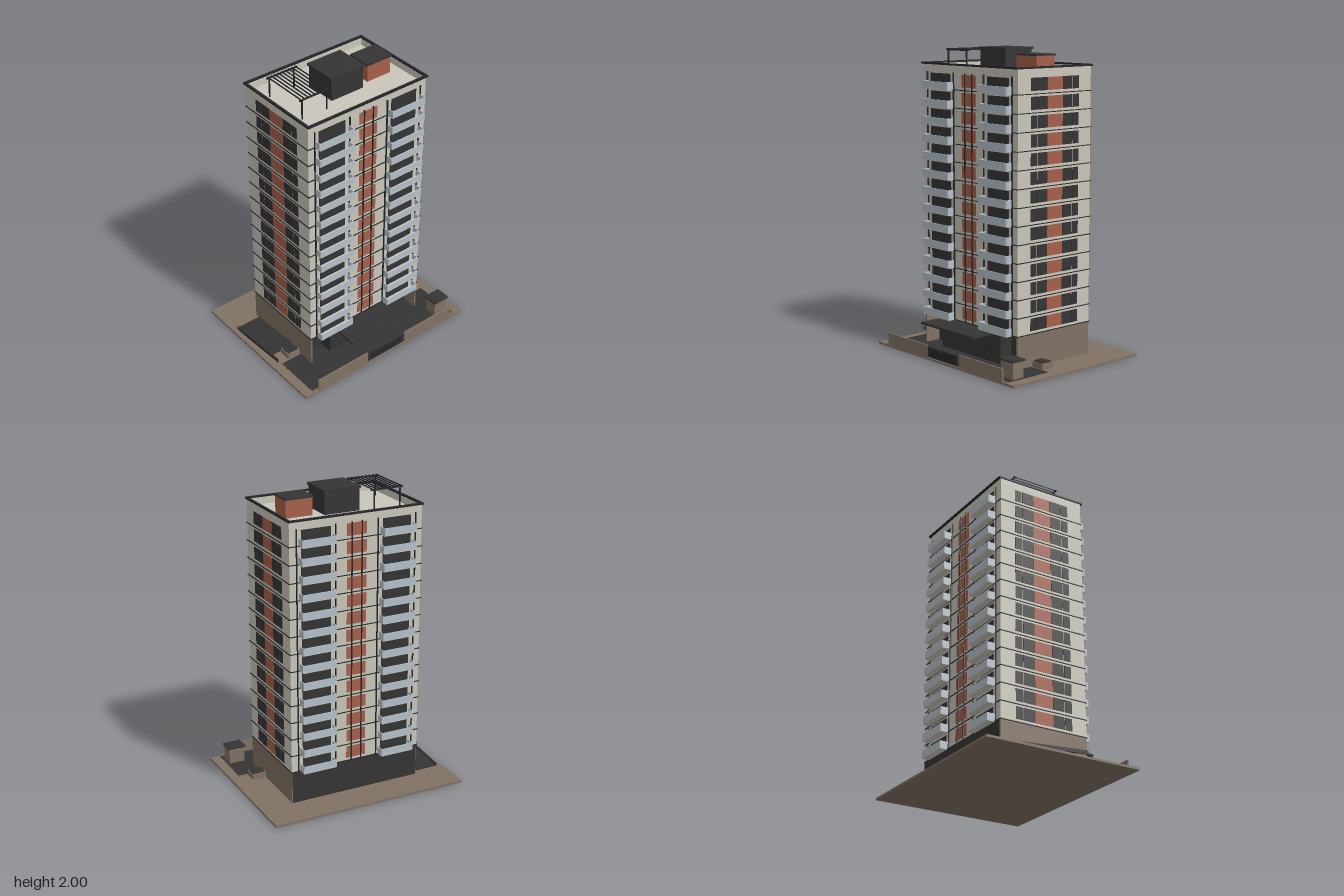
import * as THREE from 'three';

const mat = (name, color) => {
  const m = new THREE.MeshStandardMaterial({ color });
  m.name = name;
  return m;
};

export function createModel() {
  const cream = mat('cream render', 0xcac6ba);
  const brick = mat('terracotta', 0xa65f4a);
  const dark = mat('dark glass and roofing', 0x343434);
  const metal = mat('black metal', 0x24272b);
  const stone = mat('brown stone', 0x807163);
  const rail = mat('pale blue railing', 0xb4c0cb);

  const model = new THREE.Group();
  model.name = 'apartmentTower';

  // Box given by its limits on each axis
  const box = (name, m, x0, x1, y0, y1, z0, z1, parent = model) => {
    const mesh = new THREE.Mesh(new THREE.BoxGeometry(x1 - x0, y1 - y0, z1 - z0), m);
    mesh.position.set((x0 + x1) / 2, (y0 + y1) / 2, (z0 + z1) / 2);
    mesh.name = name;
    parent.add(mesh);
    return mesh;
  };
  const group = (name) => {
    const g = new THREE.Group();
    g.name = name;
    model.add(g);
    return g;
  };

  const W = 0.46, D = 0.31, BASE = 0.23, DECK = 1.84, TOP = 1.885;
  const FLOORS = 14, PITCH = 0.1154;

  // Ground slab and forecourt
  box('groundSlab', stone, -0.68, 0.68, 0, 0.015, -0.54, 0.54);
  box('forecourtKerb', stone, -0.617, 0.617, 0.015, 0.018, 0.185, 0.53);
  box('forecourtPaving', dark, -0.615, 0.615, 0.015, 0.02, 0.195, 0.518);

  // Ground storey with recessed lobby
  box('podiumCore', stone, -W, W, 0.015, BASE, -D, 0.2);
  for (const s of [-1, 1]) {
    const x = s * (W - 0.006);
    box('podiumSideWall', stone, x - 0.006, x + 0.006, 0.015, BASE, 0.2, D);
  }
  box('podiumFrontGlazing', dark, -0.448, 0.448, 0.015, BASE, 0.2, 0.206);
  box('podiumBackGlazing', dark, -0.455, 0.455, 0.015, BASE, -D - 0.004, -D);
  box('lobby', dark, -0.295, 0.29, 0.015, 0.215, 0.2, 0.3);
  for (const x of [-0.15, 0, 0.15]) box('lobbyMullion', metal, x - 0.003, x + 0.003, 0.02, 0.21, 0.3, 0.304);
  box('entranceCanopy', dark, -0.265, 0.26, 0.21, 0.223, 0.28, 0.503);

  // Tower body and parapet
  box('towerBody', cream, -W, W, BASE, DECK, -D, D);
  for (const s of [-1, 1]) {
    const z = s * (D - 0.005), x = s * (W - 0.005);
    box('parapetLong', cream, -W, W, DECK, TOP, z - 0.005, z + 0.005);
    box('parapetShort', cream, x - 0.005, x + 0.005, DECK, TOP, -D, D);
    const cz = s * (D + 0.005), cx = s * (W - 0.001);
    box('copingLong', metal, -W - 0.007, W + 0.007, TOP, 1.897, cz - 0.008, cz + 0.008);
    box('copingShort', metal, cx - 0.008, cx + 0.008, TOP, 1.897, -D - 0.01, D + 0.01);
  }

  // Vertical fins on front and back
  const fins = group('facadeFins');
  for (const s of [-1, 1]) {
    for (const x of [-0.413, -0.147, -0.035, 0.035, 0.147, 0.413]) {
      box('fin', metal, x - 0.003, x + 0.003, BASE, DECK, s * 0.314 - 0.005, s * 0.314 + 0.005, fins);
    }
  }

  // Repeated storeys
  const storeys = group('storeys');
  for (let i = 0; i < FLOORS; i++) {
    const y = BASE + i * PITCH, w0 = y + 0.02, w1 = y + 0.1;
    box('floorBand', metal, -W - 0.005, W + 0.005, y - 0.002, y + 0.003, -D - 0.005, D + 0.005, storeys);
    for (const s of [-1, 1]) {
      // Long facades: terracotta centre, windows and balconies
      const plateZ = [s * D - 0.003, s * D + 0.003];
      box('centrePanel', brick, -0.068, 0.068, w0, w1, ...plateZ, storeys);
      for (const t of [-1, 1]) {
        const c = t * 0.281, half = s > 0 ? 0.132 : 0.116;
        box('balconyWindow', dark, c - 0.1, c + 0.1, w0 - 0.012, w1, ...plateZ, storeys);
        const zo = s * 0.363, zm = s * 0.337;
        box('balconySlab', cream, c - half, c + half, y - 0.002, y + 0.008, zm - 0.027, zm + 0.027, storeys);
        box('balconyFrontRail', rail, c - half, c + half, y + 0.003, y + 0.05, zo - 0.003, zo + 0.003, storeys);
        for (const e of [-1, 1]) {
          const x = c + e * (half - 0.002);
          box('balconySideRail', rail, x - 0.003, x + 0.003, y + 0.003, y + 0.05, zm - 0.025, zm + 0.025, storeys);
        }
      }
      // Short facades: terracotta centre flanked by paired windows
      const plateX = [s * W - 0.003, s * W + 0.003];
      box('sidePanel', brick, ...plateX, w0, w1, -0.064, 0.064, storeys);
      for (const t of [-1, 1]) {
        for (const [c, h] of [[0.107, 0.041], [0.178, 0.025]]) {
          box('sideWindow', dark, ...plateX, w0, w1, t * c - h, t * c + h, storeys);
        }
      }
    }
  }

  // Rooftop plant rooms
  box('liftHouse', dark, -0.122, 0.122, DECK, 1.985, -0.113, 0.11);
  box('liftHouseRoof', dark, -0.13, 0.13, 1.985, 2, -0.121, 0.117);
  box('stairHouse', brick, 0.187, 0.37, DECK, 1.955, -0.078, 0.075);
  box('stairHouseRoof', dark, 0.18, 0.377, 1.955, 1.966, -0.086, 0.082);

  // Rooftop pergola
  const pergola = group('pergola');
  for (const z of [-0.163, 0.16]) {
    box('pergolaBeam', metal, -0.405, -0.175, 1.97, 1.979, z - 0.004, z + 0.004, pergola);
    for (const x of [-0.385, -0.2]) box('pergolaPost', metal, x - 0.004, x + 0.004, DECK, 1.97, z - 0.004, z + 0.004, pergola);
  }
  for (let i = 0; i < 9; i++) {
    const x = -0.393 + i * 0.0258;
    box('pergolaSlat', metal, x - 0.0025, x + 0.0025, 1.976, 1.983, -0.168, 0.165, pergola);
  }

  // Front boundary wall and gate
  box('boundaryWallRight', stone, -0.575, -0.16, 0.015, 0.096, 0.527, 0.538);
  box('boundaryWallLeft', stone, 0.16, 0.575, 0.015, 0.096, 0.527, 0.538);
  box('gate', dark, -0.16, 0.16, 0.017, 0.088, 0.528, 0.534);
  box('gatePanel', metal, -0.132, 0.132, 0.025, 0.078, 0.534, 0.537);

  // Guard house
  box('guardHouse', stone, 0.492, 0.6, 0.015, 0.126, 0.385, 0.474);
  box('guardHouseRoof', dark, 0.485, 0.608, 0.126, 0.136, 0.376, 0.48);

  // Planters on both sides
  for (const s of [-1, 1]) {
    const c = s * 0.507;
    box('sidePlanter', stone, c - 0.047, c + 0.047, 0.015, 0.054, 0.1, 0.183);
    box('sidePlanterTop', dark, c - 0.04, c + 0.04, 0.054, 0.062, 0.107, 0.176);
  }

  // Sloping ramp beside the tower with its kerb wall
  const ramp = group('ramp');
  ramp.position.set(0, 0.013, -0.275);
  ramp.rotation.x = -0.075;
  box('rampSurface', dark, -0.64, -0.46, 0, 0.01, 0, 0.385, ramp);
  box('rampKerb', dark, -0.646, -0.638, -0.004, 0.02, 0, 0.465, ramp);

  return model;
}
